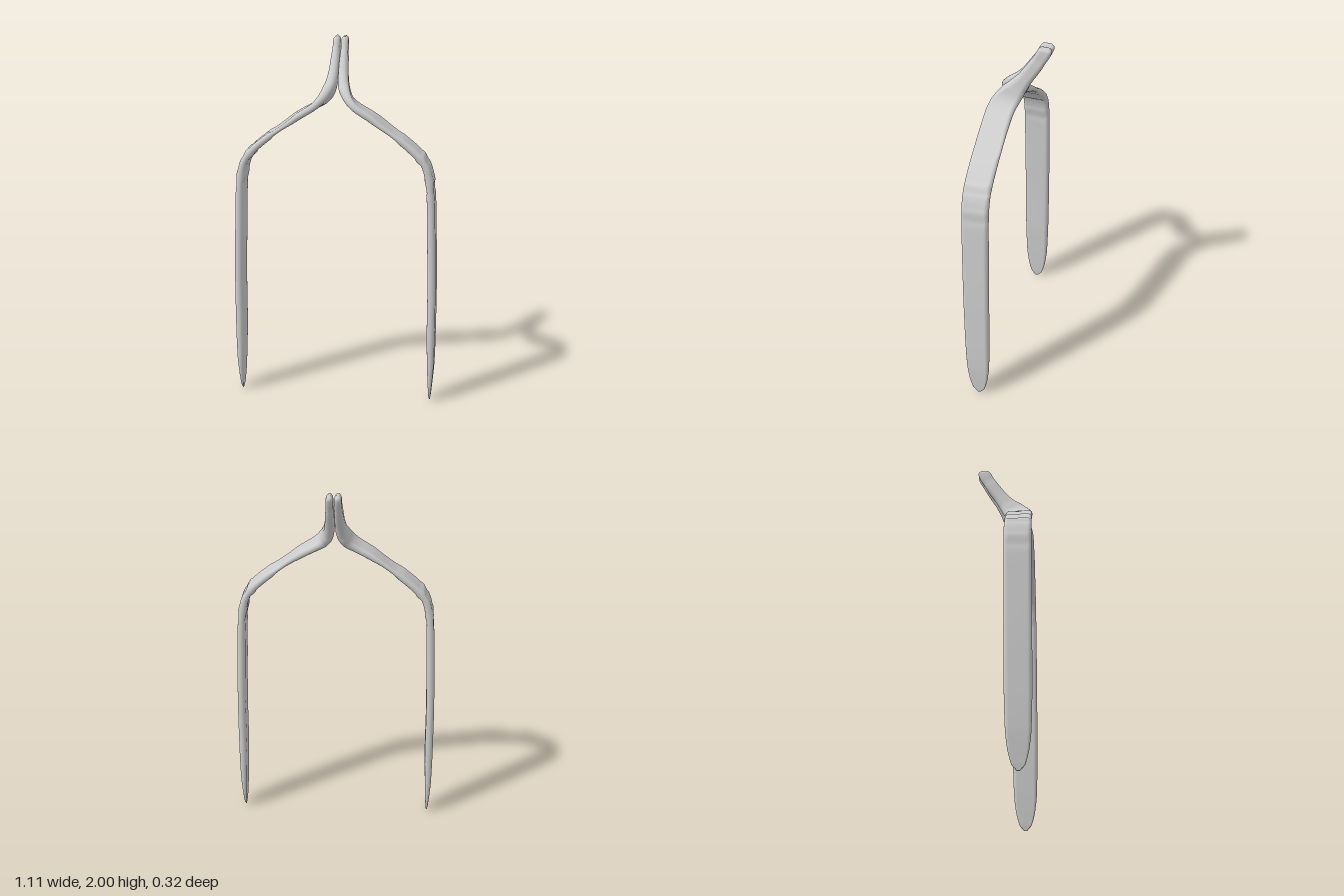
import * as THREE from 'three';

// Stations along one half, foot to top:
// centre x, y, z, half width, half thickness, tilt of the width axis in degrees
const STATIONS = [
  [0.535, 0.0, 0.088, 0.008, 0.002, 0],
  [0.535, 0.03, 0.088, 0.033, 0.006, 0],
  [0.536, 0.1, 0.088, 0.052, 0.011, 0],
  [0.537, 0.2, 0.088, 0.064, 0.017, 0],
  [0.535, 0.4, 0.088, 0.07, 0.022, 0],
  [0.533, 0.7, 0.088, 0.072, 0.022, 0],
  [0.524, 1.0, 0.088, 0.073, 0.022, 0],
  [0.516, 1.2, 0.088, 0.073, 0.021, 0],
  [0.504, 1.3, 0.088, 0.073, 0.021, 0],
  [0.485, 1.36, 0.088, 0.073, 0.02, 0],
  [0.445, 1.413, 0.088, 0.073, 0.02, 0],
  [0.35, 1.495, 0.088, 0.073, 0.018, 0],
  [0.2, 1.602, 0.087, 0.073, 0.018, 0],
  [0.105, 1.66, 0.082, 0.072, 0.02, 5],
  [0.063, 1.698, 0.062, 0.066, 0.025, 18],
  [0.037, 1.748, 0.025, 0.052, 0.029, 29],
  [0.027, 1.81, -0.02, 0.04, 0.026, 30],
  [0.023, 1.9, -0.078, 0.037, 0.022, 30],
  [0.022, 1.965, -0.114, 0.036, 0.019, 20],
  [0.022, 1.988, -0.122, 0.033, 0.015, 4],
  [0.022, 2.0, -0.12, 0.023, 0.006, 0],
];
const STEPS = 120;
const ARC = 10; // segments on each rounded edge

// Lofts a strap with rounded edges through the stations; side is +1 or -1
function strapGeometry(side) {
  const path = new THREE.CatmullRomCurve3(STATIONS.map(s => new THREE.Vector3(s[0], s[1], s[2])));
  const size = new THREE.CatmullRomCurve3(STATIONS.map(s => new THREE.Vector3(s[3], s[4], s[5] / 100)));
  const pos = [], index = [];
  const n = 2 * (ARC + 1);
  const tri = (a, b, c) => side > 0 ? index.push(a, b, c) : index.push(a, c, b);
  const put = p => pos.push(p.x * side, p.y, p.z);

  for (let i = 0; i <= STEPS; i++) {
    const t = i / STEPS;
    const c = path.getPoint(t), s = size.getPoint(t);
    const tilt = THREE.MathUtils.degToRad(s.z * 100);
    const wide = new THREE.Vector3(0, Math.sin(tilt), Math.cos(tilt));
    const thick = wide.clone().cross(path.getTangent(t)).normalize();
    const flat = Math.max(s.x - s.y, 0.001);
    for (let j = 0; j < n; j++) {
      const front = j <= ARC;
      const k = front ? j : j - ARC - 1;
      const a = -Math.PI / 2 + Math.PI * k / ARC + (front ? 0 : Math.PI);
      put(c.clone()
        .addScaledVector(wide, (front ? flat : -flat) + s.y * Math.cos(a))
        .addScaledVector(thick, s.y * Math.sin(a)));
    }
  }
  for (let i = 0; i < STEPS; i++) {
    for (let j = 0; j < n; j++) {
      const a = i * n + j, b = i * n + (j + 1) % n;
      tri(a, a + n, b);
      tri(b, a + n, b + n);
    }
  }
  // Close both ends
  const foot = pos.length / 3, top = foot + 1, last = STEPS * n;
  put(path.getPoint(0));
  put(path.getPoint(1));
  for (let j = 0; j < n; j++) {
    const k = (j + 1) % n;
    tri(foot, j, k);
    tri(top, last + k, last + j);
  }
  const g = new THREE.BufferGeometry();
  g.setAttribute('position', new THREE.Float32BufferAttribute(pos, 3));
  g.setIndex(index);
  g.computeVertexNormals();
  return g;
}

export function createModel() {
  const group = new THREE.Group();
  group.name = 'twoProngedFork';
  const metal = new THREE.MeshStandardMaterial({ color: 0xcccccc });
  metal.name = 'lightGrey';

  for (const [name, side] of [['leftProng', 1], ['rightProng', -1]]) {
    const prong = new THREE.Mesh(strapGeometry(side), metal);
    prong.name = name;
    group.add(prong);
  }
  return group;
}
